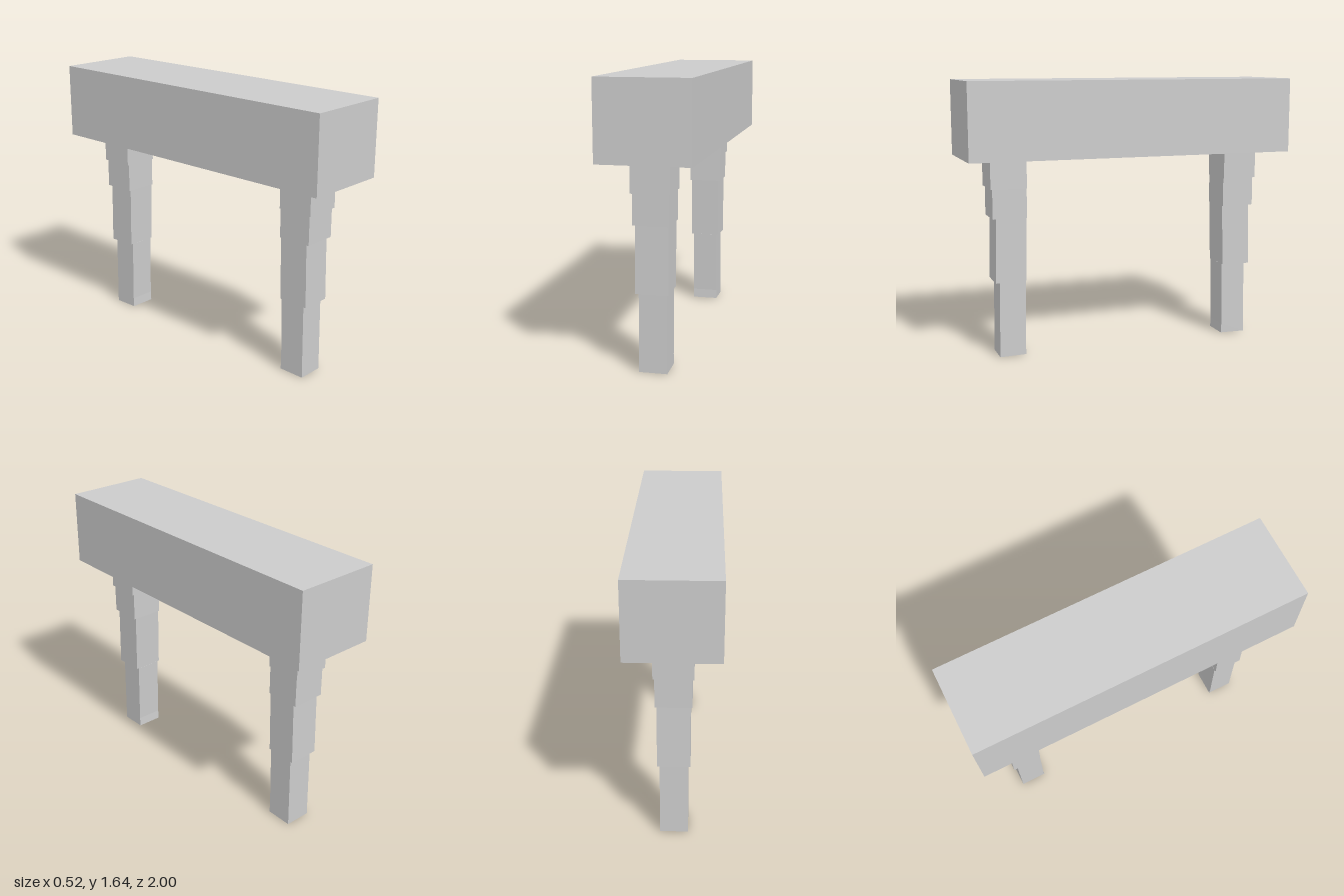
import * as THREE from 'three';

const material = new THREE.MeshStandardMaterial({ color: 0xcccccc, flatShading: true });

// Extrudes a side profile of [z, y] corners across x, centred on x = 0
function slab(name, width, profile) {
  const shape = new THREE.Shape(profile.map(([z, y]) => new THREE.Vector2(z, y)));
  const geometry = new THREE.ExtrudeGeometry(shape, { depth: width, bevelEnabled: false });
  geometry.translate(0, 0, -width / 2);
  geometry.rotateY(-Math.PI / 2);
  const mesh = new THREE.Mesh(geometry, material);
  mesh.name = name;
  return mesh;
}

// Stepped leg: four sections, the lower two leaning slightly outwards
function createLeg(name) {
  const leg = new THREE.Group();
  leg.name = name;
  leg.add(
    slab('legCollar', 0.222, [[0.635, 1.013], [0.85, 1.013], [0.85, 1.187], [0.635, 1.187]]),
    slab('upperLeg', 0.204, [[0.635, 0.838], [0.839, 0.838], [0.839, 1.013], [0.635, 1.013]]),
    slab('middleLeg', 0.186, [[0.643, 0.46], [0.826, 0.455], [0.817, 0.838], [0.635, 0.838]]),
    // the inner face of the foot has a slight kink near the ground
    slab('lowerLeg', 0.16, [[0.647, 0.003], [0.807, 0], [0.801, 0.46], [0.642, 0.46], [0.65, 0.06]])
  );
  return leg;
}

export function createModel() {
  const model = new THREE.Group();
  model.name = 'beamOnLegs';

  // Long top beam
  const beam = new THREE.Mesh(new THREE.BoxGeometry(0.524, 0.45, 2), material);
  beam.name = 'beam';
  beam.position.y = 1.412;
  model.add(beam);

  // Matching legs facing away from each other
  const frontLeg = createLeg('frontLeg');
  const backLeg = createLeg('backLeg');
  backLeg.rotation.y = Math.PI;
  model.add(frontLeg, backLeg);
  return model;
}
